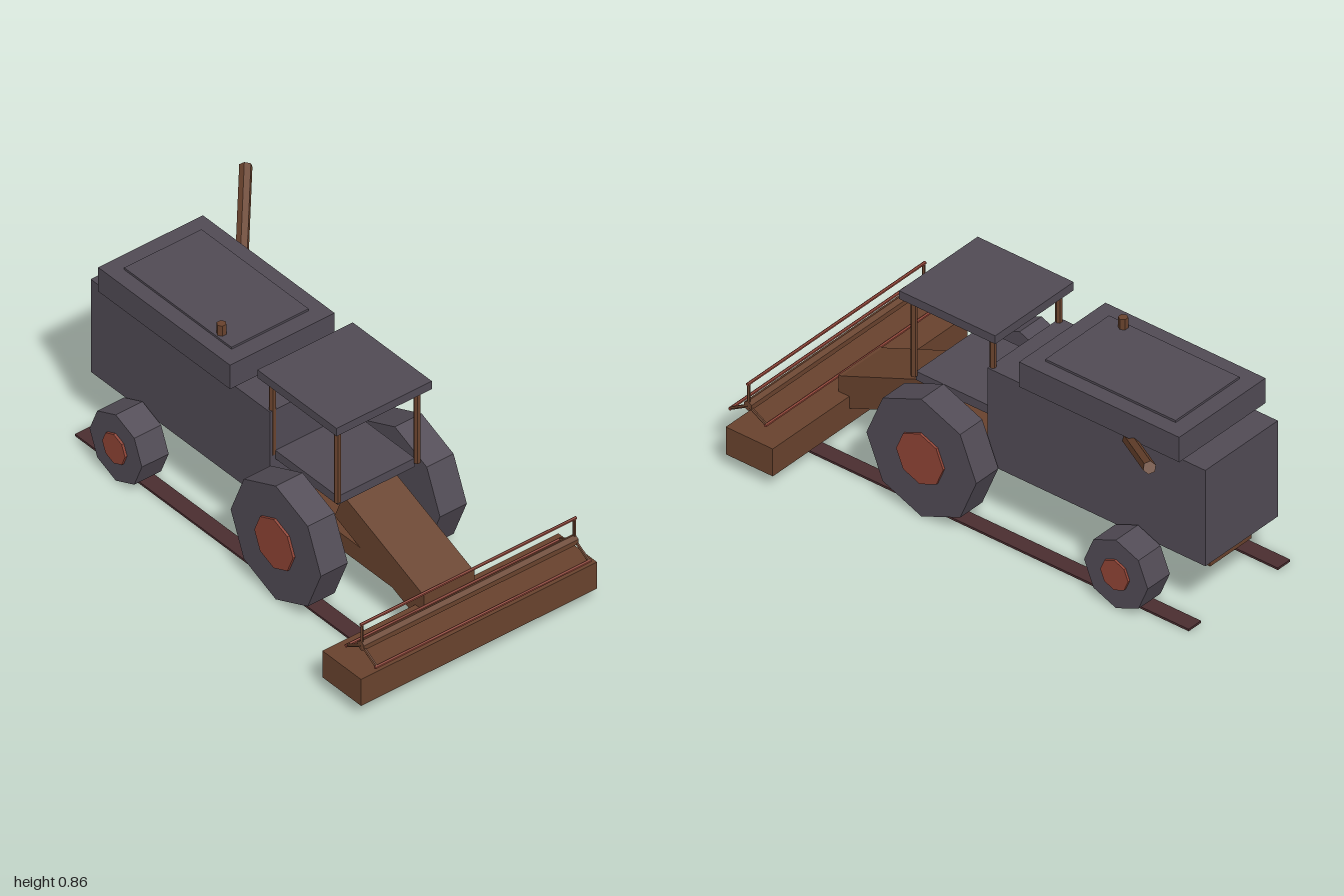
import * as THREE from 'three';

export function createModel() {
  const root = new THREE.Group();
  root.name = 'harvester';
  const material = (name, color) => {
    const m = new THREE.MeshStandardMaterial({ color, flatShading: true });
    m.name = name;
    return m;
  };
  const grey = material('slate grey', 0x504a54);
  const brown = material('rust brown', 0x68422d);
  const red = material('hub red', 0x8e4335);
  const dark = material('dark maroon', 0x4a2d2f);

  const add = (name, geometry, mat, x = 0, y = 0, z = 0) => {
    const mesh = new THREE.Mesh(geometry, mat);
    mesh.name = name;
    mesh.position.set(x, y, z);
    root.add(mesh);
    return mesh;
  };
  // box given by its x, y extents and z half width
  const box = (name, mat, x0, x1, y0, y1, halfZ, z = 0) =>
    add(name, new THREE.BoxGeometry(x1 - x0, y1 - y0, halfZ * 2), mat, (x0 + x1) / 2, (y0 + y1) / 2, z);
  // straight rod between two points
  const rod = (name, mat, a, b, radius, sides = 6) => {
    const p = new THREE.Vector3(...a), q = new THREE.Vector3(...b);
    const mesh = add(name, new THREE.CylinderGeometry(radius, radius, p.distanceTo(q), sides), mat);
    mesh.position.copy(p).add(q).multiplyScalar(0.5);
    mesh.quaternion.setFromUnitVectors(new THREE.Vector3(0, 1, 0), q.sub(p).normalize());
    return mesh;
  };

  // Main body, grain tank and chassis
  box('body', grey, -0.99, 0.03, 0.25, 0.67, 0.205);
  box('grainTank', grey, -0.9, -0.15, 0.687, 0.796, 0.244);
  box('tankLid', grey, -0.83, -0.22, 0.796, 0.805, 0.18);
  box('chassis', brown, -0.94, 0.8, 0.18, 0.253, 0.117);
  rod('exhaust', brown, [-0.307, 0.6, 0.155], [-0.307, 0.85, 0.155], 0.019);
  rod('unloadingAuger', brown, [-0.983, 0.843, -0.512], [-0.575, 0.612, -0.15], 0.025);

  // Open cab
  box('cabFloor', grey, 0.03, 0.385, 0.447, 0.485, 0.18);
  box('cabRoof', grey, -0.02, 0.43, 0.805, 0.841, 0.222);
  for (const x of [0.02, 0.39])
    for (const z of [-0.186, 0.186])
      rod('cabPost', brown, [x, 0.468, z], [x, 0.806, z], 0.0135);

  // Sloping feeder house
  const side = new THREE.Shape([
    [0.34, 0.432], [0.795, 0.25], [0.795, 0.11], [0.29, 0.31],
  ].map(([x, y]) => new THREE.Vector2(x, y)));
  add('feederHouse', new THREE.ExtrudeGeometry(side, { depth: 0.234, bevelEnabled: false }), brown, 0, 0, -0.117);

  // Cutting header and three-armed reel
  box('header', brown, 0.75, 0.97, 0.06, 0.18, 0.55);
  const cx = 0.908, cy = 0.272;
  rod('reelShaft', brown, [cx, cy, -0.5], [cx, cy, 0.5], 0.021);
  for (let i = 0; i < 3; i++) {
    const angle = Math.PI / 2 + i * Math.PI * 2 / 3;
    const x = cx + Math.cos(angle) * 0.096, y = cy + Math.sin(angle) * 0.096;
    rod('reelBar', red, [x, y, -0.503], [x, y, 0.503], 0.0065);
    for (const z of [-0.495, 0.495])
      rod('reelArm', brown, [cx, cy, z], [x, y, z], 0.0065);
  }

  // Eight-sided wheels with hubs, and ground strips beneath them
  for (const s of [-1, 1]) {
    for (const [name, x, r, hub] of [['frontWheel', 0.228, 0.257, 0.11], ['rearWheel', -0.683, 0.149, 0.065]]) {
      rod(name + 'Tyre', grey, [x, r + 0.003, s * 0.215], [x, r + 0.003, s * 0.34], r, 8);
      rod(name + 'Hub', red, [x, r + 0.003, s * 0.3], [x, r + 0.003, s * 0.35], hub, 8);
    }
    box('groundStrip', dark, -0.98, 0.84, 0.004, 0.013, 0.035, s * 0.252);
  }
  return root;
}
